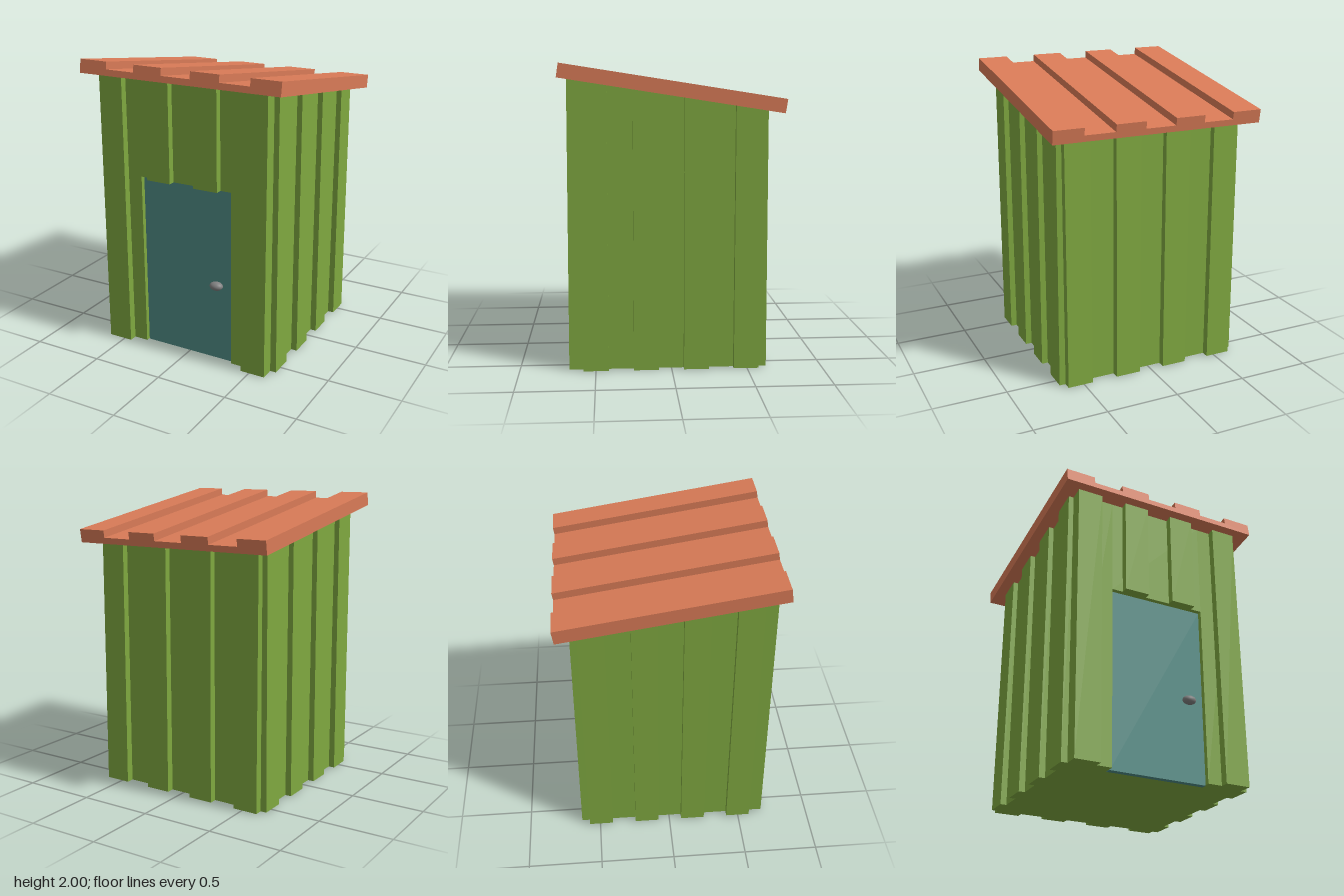
import * as THREE from 'three';

const green = new THREE.MeshStandardMaterial({ color: 0x7fa840 });
const orange = new THREE.MeshStandardMaterial({ color: 0xd97b57 });
const teal = new THREE.MeshStandardMaterial({ color: 0x4f8d86 });
const grey = new THREE.MeshStandardMaterial({ color: 0x808080 });

const PITCH = 0.155;
const roofUnderside = (z) => 1.8 + Math.tan(PITCH) * z;

function add(parent, name, geometry, material) {
  const mesh = new THREE.Mesh(geometry, material);
  mesh.name = name;
  parent.add(mesh);
  return mesh;
}

// Box between two plan corners whose top follows the roof slope, splayed a little at the foot
function slopedBox(x0, x1, z0, z1, bottom = 0.005, splayX = 0, splayZ = 0) {
  const g = new THREE.BoxGeometry(x1 - x0, 1, z1 - z0);
  g.translate((x0 + x1) / 2, 0, (z0 + z1) / 2);
  const p = g.attributes.position;
  for (let i = 0; i < p.count; i++) {
    if (p.getY(i) > 0) {
      p.setY(i, roofUnderside(p.getZ(i)) + 0.004);
    } else {
      p.setXYZ(i, p.getX(i) + splayX, bottom, p.getZ(i) + splayZ);
    }
  }
  g.computeVertexNormals();
  return g;
}

export function createModel() {
  const model = new THREE.Group();
  model.name = 'shed';

  // Walls: solid core, with a thicker front wall framing the door
  const walls = new THREE.Group();
  walls.name = 'walls';
  model.add(walls);
  add(walls, 'wallCore', slopedBox(-0.615, 0.615, -0.578, 0.57), green);
  add(walls, 'frontWallRight', slopedBox(-0.615, -0.34, 0.57, 0.62), green);
  add(walls, 'frontWallLeft', slopedBox(0.34, 0.615, 0.57, 0.62), green);
  add(walls, 'frontWallAboveDoor', slopedBox(-0.34, 0.34, 0.57, 0.62, 1.23), green);

  // Raised planks, four on every wall with equal gaps between
  for (let i = 0; i < 4; i++) {
    const x0 = -0.615 + i * 0.352, x1 = x0 + 0.174;
    const z0 = -0.575 + i * 0.33, z1 = z0 + 0.165;
    const overDoor = i === 1 || i === 2;
    add(walls, 'frontPlank',
      slopedBox(x0, x1, 0.61, 0.667, overDoor ? 1.23 : 0.005, 0, overDoor ? 0 : 0.008), green);
    add(walls, 'backPlank', slopedBox(x0, x1, -0.622, -0.57, 0.005, 0, -0.008), green);
    add(walls, 'leftPlank', slopedBox(0.605, 0.65, z0, z1, 0.005, 0.007), green);
    add(walls, 'rightPlank', slopedBox(-0.65, -0.605, z0, z1, 0.005, -0.007), green);
  }

  // Door and knob
  const door = add(model, 'door', new THREE.BoxGeometry(0.68, 1.23, 0.04), teal);
  door.position.set(0, 0.615, 0.568);
  const knob = add(model, 'doorKnob', new THREE.SphereGeometry(1, 24, 16), grey);
  knob.scale.set(0.047, 0.03, 0.035);
  knob.position.set(0.225, 0.553, 0.615);

  // Ribbed roof: profile of seven strips, alternately high and low
  const edges = [-0.725, -0.52, -0.31, -0.105, 0.105, 0.31, 0.52, 0.725];
  const profile = new THREE.Shape();
  profile.moveTo(0.725, -0.0455);
  for (let i = 6; i >= 0; i--) {
    const y = i % 2 === 0 ? 0.0455 : -0.004;
    profile.lineTo(edges[i + 1], y);
    profile.lineTo(edges[i], y);
  }
  profile.lineTo(-0.725, -0.0455);
  profile.closePath();
  const roofGeometry = new THREE.ExtrudeGeometry(profile, { depth: 1.452, bevelEnabled: false });
  roofGeometry.translate(0, 0, -0.726);
  const roof = add(model, 'roof', roofGeometry, orange);
  roof.rotation.x = -PITCH;
  roof.position.set(0, 1.844, 0);

  return model;
}
